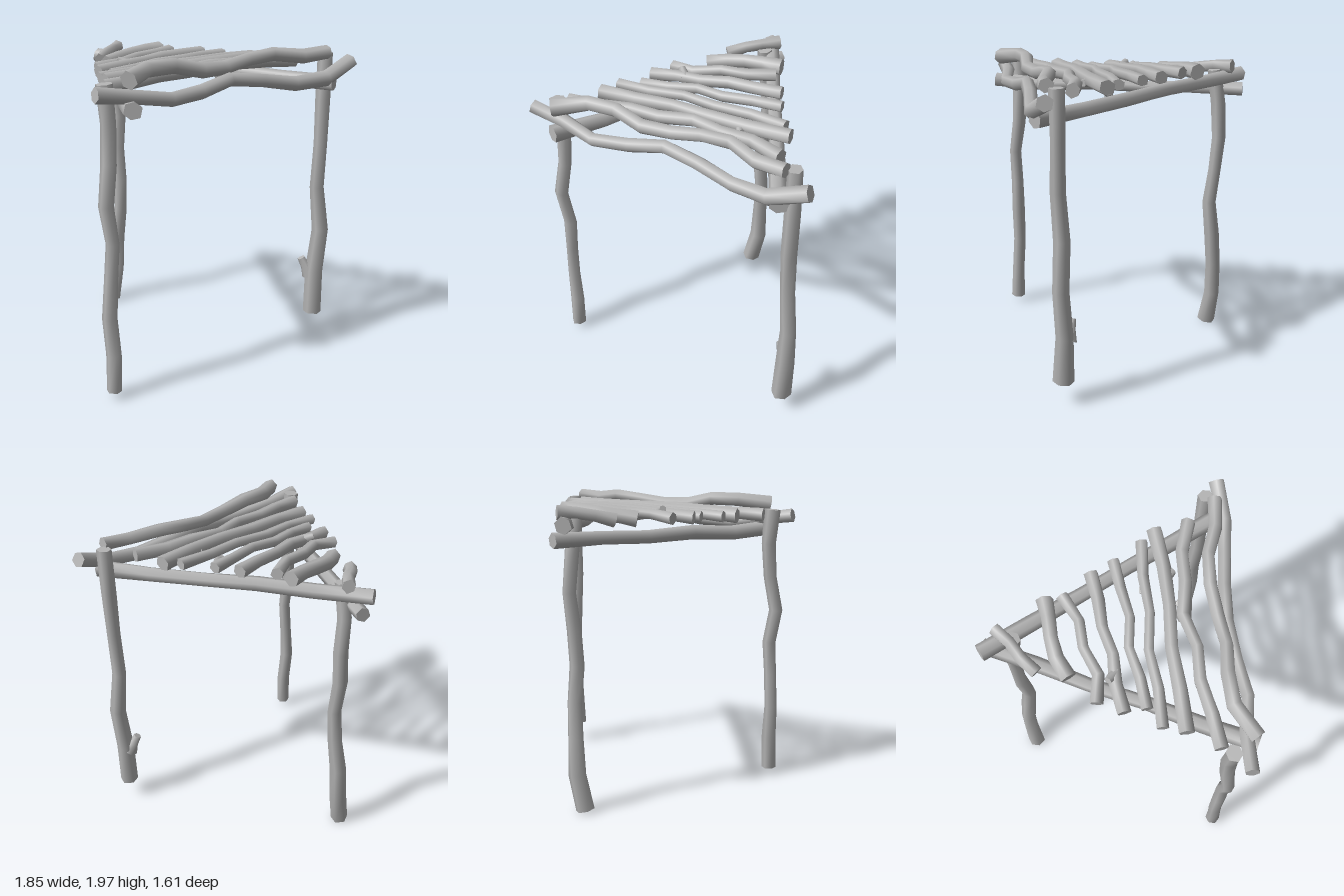
import * as THREE from 'three';

const SIDES = 6;

// Crooked stick between two points. Bends and lifts are offsets, in hundredths,
// at even steps between the ends; the stick is a little thinner in the middle.
function stickGeometry(from, to, r0, r1, bends, lifts) {
  const a = new THREE.Vector3(...from), b = new THREE.Vector3(...to);
  const upright = Math.abs(b.y - a.y) > 1;
  const side = upright ? new THREE.Vector3(1, 0, 0) : new THREE.Vector3(0, 0, 1);
  const rise = upright ? new THREE.Vector3(0, 0, 1) : new THREE.Vector3(0, 1, 0);
  const n = bends.length + 2;
  const pts = [];
  for (let i = 0; i < n; i++) {
    pts.push(a.clone().lerp(b, i / (n - 1))
      .addScaledVector(side, (bends[i - 1] ?? 0) / 100)
      .addScaledVector(rise, (lifts[i - 1] ?? 0) / 100));
  }
  const pos = [], idx = [];
  const rings = pts.map((p, i) => {
    const t = pts[Math.min(i + 1, n - 1)].clone().sub(pts[Math.max(i - 1, 0)]).normalize();
    const u = new THREE.Vector3().crossVectors(rise, t).normalize();
    const v = new THREE.Vector3().crossVectors(t, u);
    const s = i / (n - 1);
    const radius = THREE.MathUtils.lerp(r0, r1, s) * (1 - 0.14 * Math.sin(Math.PI * s));
    const ring = [];
    for (let k = 0; k < SIDES; k++) {
      const angle = (k / SIDES) * Math.PI * 2 + 0.3;
      const r = radius * (1.06 + 0.07 * Math.sin(k * 2.3 + i * 1.7));
      ring.push(p.clone().addScaledVector(u, Math.cos(angle) * r).addScaledVector(v, Math.sin(angle) * r));
    }
    return ring;
  });
  for (const ring of rings) for (const p of ring) pos.push(p.x, p.y, p.z);
  for (let i = 0; i < n - 1; i++) {
    for (let k = 0; k < SIDES; k++) {
      const c = i * SIDES + k, d = i * SIDES + ((k + 1) % SIDES);
      idx.push(c, d, d + SIDES, c, d + SIDES, c + SIDES);
    }
  }
  // Caps use their own corners so the rim stays sharp
  for (const [ring, flip] of [[rings[0], true], [rings[n - 1], false]]) {
    const base = pos.length / 3;
    for (const p of ring) pos.push(p.x, p.y, p.z);
    for (let k = 1; k < SIDES - 1; k++) {
      if (flip) idx.push(base, base + k + 1, base + k);
      else idx.push(base, base + k, base + k + 1);
    }
  }
  const g = new THREE.BufferGeometry();
  g.setAttribute('position', new THREE.Float32BufferAttribute(pos, 3));
  g.setIndex(idx);
  g.computeVertexNormals();
  return g;
}

export function createModel() {
  const model = new THREE.Group();
  const wood = new THREE.MeshStandardMaterial({ color: 0xb4b4b4 });
  wood.name = 'grey wood';

  const stick = (name, from, to, r0, r1, bends = [], lifts = []) => {
    const mesh = new THREE.Mesh(stickGeometry(from, to, r0, r1, bends, lifts), wood);
    mesh.name = name;
    model.add(mesh);
  };

  // Legs
  stick('rightLeg', [-0.83, 0.07, 0.67], [-0.82, 1.88, 0.6], 0.045, 0.048,
    [0.5, -1, 0, 1.5, -2.5, 1, 2], [0, -1, 0, 1, 2, 0, -0.5]);
  stick('leftLeg', [0.765, 0.17, 0.65], [0.77, 1.94, 0.65], 0.06, 0.043,
    [1, 2.5, -0.5, -0.5, 0], [-1, 1, -1, 0.5, 0]);
  stick('backLeg', [-0.09, 0.04, -0.585], [-0.02, 1.87, -0.57], 0.057, 0.044,
    [4, 4, 5, 3.5, 2.5, 4, 1], [-2, -2, 0, 2, -1.5, -3, -3]);

  // Three beams forming the triangle
  stick('rightBeam', [0.01, 1.735, -0.76], [-0.745, 1.75, 0.77], 0.044, 0.05, [1, -1, 1, 0], [0, -1, 0, -2]);
  stick('leftBeam', [-0.07, 1.825, -0.77], [0.74, 1.765, 0.77], 0.049, 0.05, [0, 1, -1, 0], [0, 0.5, 0, -0.5]);
  stick('frontBeam', [-0.93, 1.84, 0.69], [0.9, 1.885, 0.74], 0.042, 0.048,
    [0, 4, 0, -3.5, -2, 1, 3.5], [-3.5, -7, -6, -2, -5, -9, -8]);

  // Front roof slat, strongly bowed
  stick('frontSlat', [-0.75, 1.91, 0.74], [0.74, 1.95, 0.7], 0.05, 0.042,
    [-10.5, -11, -8, -10, -11.5, -10, -2.5], [2.5, 2.5, -2, -2.5, 0, 1.5, -1]);

  // Other roof slats, front to back: x and z of both ends, radius, then bends
  const slats = [
    [-0.78, 0.54, 0.63, 0.53, 0.043, -2.5, -6.5, -5.5, -11, -7, -6.5],
    [-0.67, 0.36, 0.59, 0.32, 0.046, 0, -1, 1.5, 2],
    [-0.63, 0.23, 0.52, 0.235, 0.035, 0, -3, 0, -1.5],
    [-0.51, 0.155, 0.41, 0.055, 0.035, 0, -2.5, 2, 0.5],
    [-0.52, 0.025, 0.34, -0.085, 0.041, -1, 1.5, -1, 0.5],
    [-0.45, -0.125, 0.21, -0.265, 0.038, 6, 2.5, 5],
    [-0.28, -0.27, 0.2, -0.37, 0.049, -3.5, -3, -1],
    [-0.23, -0.45, 0.04, -0.67, 0.041, -1, 1],
  ];
  slats.forEach(([x0, z0, x1, z1, r, ...bends], i) => {
    const lifts = bends.map((_, k) => 1.5 * Math.sin((Math.PI * (k + 1)) / (bends.length + 1)));
    stick(`roofSlat${i + 1}`, [x0, 1.845, z0], [x1, 1.895, z1], r, r, bends, lifts);
  });

  // Cut twig stubs
  stick('legKnot', [0.76, 0.43, 0.62], [0.71, 0.55, 0.58], 0.052, 0.024, [0]);
  stick('slatKnotLeft', [0.26, 1.88, 0.33], [0.32, 1.88, 0.4], 0.036, 0.022);
  stick('slatKnotRight', [-0.28, 1.87, 0], [-0.34, 1.9, -0.05], 0.032, 0.022);
  stick('slatKnotLow', [0.22, 1.86, 0.215], [0.25, 1.78, 0.225], 0.03, 0.026);

  return model;
}
